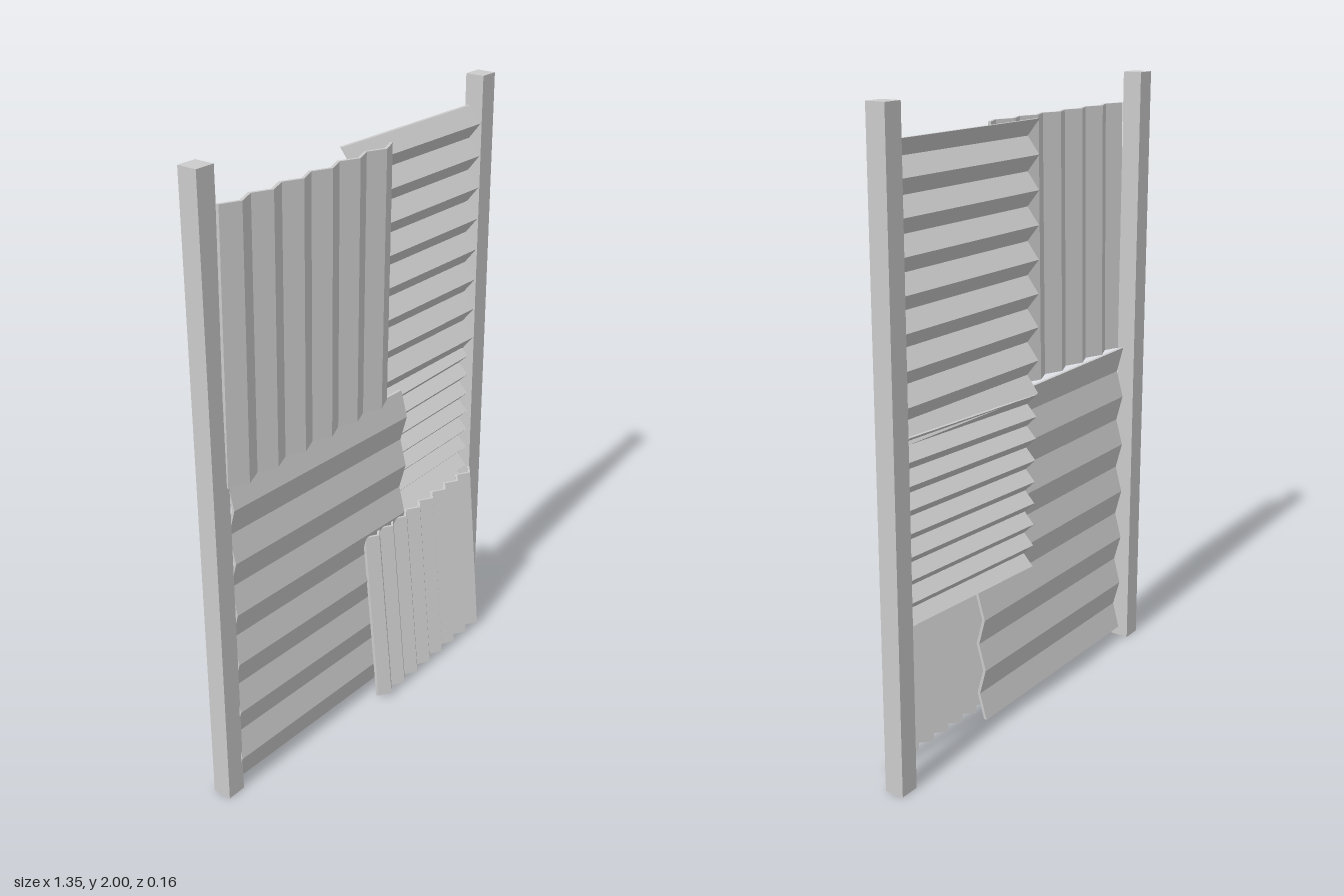
import * as THREE from 'three';

const material = new THREE.MeshStandardMaterial({ color: 0xcccccc, flatShading: true, side: THREE.DoubleSide });
const THICK = 0.01;

// Zigzag corrugated sheet with vertical ribs, facing +z and centred on the origin.
function corrugated(span, length, ridges, depth) {
  const shape = new THREE.Shape();
  const steps = ridges * 2;
  const x = (i) => -span / 2 + (span * i) / steps;
  const y = (i) => (i % 2 ? depth / 2 : -depth / 2);
  shape.moveTo(x(0), y(0) - THICK / 2);
  for (let i = 1; i <= steps; i++) shape.lineTo(x(i), y(i) - THICK / 2);
  for (let i = steps; i >= 0; i--) shape.lineTo(x(i), y(i) + THICK / 2);
  const geometry = new THREE.ExtrudeGeometry(shape, { depth: length, bevelEnabled: false });
  return geometry.translate(0, 0, -length / 2).rotateX(Math.PI / 2);
}

export function createModel() {
  const model = new THREE.Group();
  const add = (name, geometry, position, rotation = [0, 0, 0]) => {
    const mesh = new THREE.Mesh(geometry, material);
    mesh.name = name;
    mesh.position.set(...position);
    mesh.rotation.set(...rotation);
    model.add(mesh);
  };

  // Square uprights
  for (const [name, side] of [['leftPost', 1], ['rightPost', -1]]) {
    add(name, new THREE.BoxGeometry(0.065, 2, 0.064), [side * 0.642, 1, -0.038]);
  }

  // Overlapping sheets, each slightly crooked; horizontal ones are turned a quarter
  const sheets = [
    { name: 'upperRightSheet', span: 0.735, length: 0.825, ridges: 6, depth: 0.026,
      at: [-0.252, 1.4875, 0.014], turn: [0.017, 0, 0] },
    { name: 'upperLeftSheet', span: 0.835, length: 0.63, ridges: 8, depth: 0.042, horizontal: true,
      at: [0.295, 1.485, -0.042], turn: [0, -0.02, 0] },
    { name: 'middleLeftSheet', span: 0.565, length: 0.605, ridges: 8, depth: 0.036, horizontal: true,
      at: [0.306, 0.795, -0.05], turn: [0, -0.02, 0.035] },
    { name: 'lowerRightSheet', span: 1.05, length: 0.81, ridges: 6, depth: 0.024, horizontal: true,
      at: [-0.203, 0.55, -0.012], turn: [0, -0.012, -0.017] },
    { name: 'lowerLeftSheet', span: 0.6, length: 0.615, ridges: 8, depth: 0.028,
      at: [0.308, 0.32, 0.034], turn: [-0.08, 0, 0.015] },
  ];
  for (const s of sheets) {
    const geometry = corrugated(s.span, s.length, s.ridges, s.depth);
    if (s.horizontal) geometry.rotateZ(Math.PI / 2);
    add(s.name, geometry, s.at, s.turn);
  }
  return model;
}
